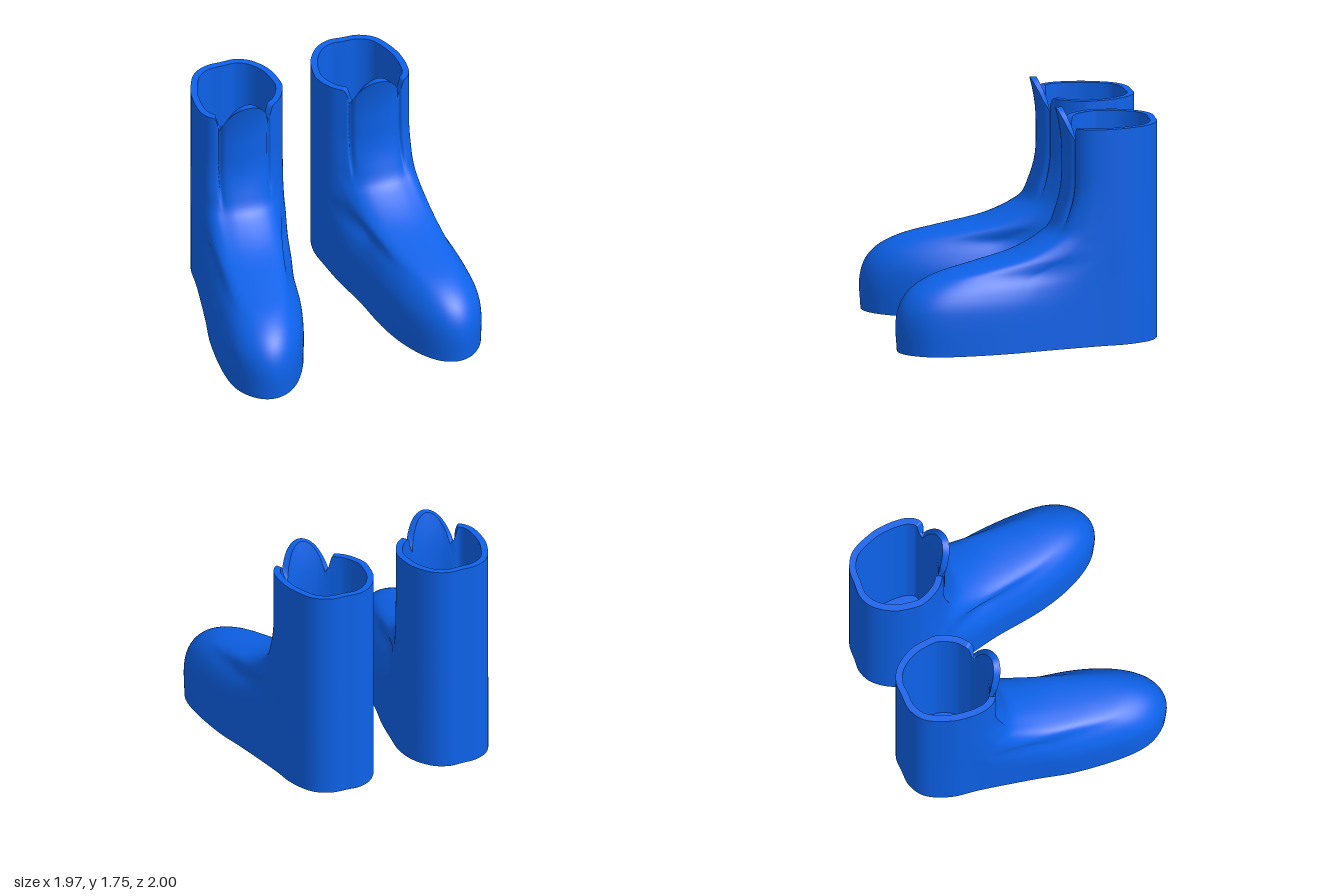
import * as THREE from 'three';

// Plan outlines, matched point for point: heel, outer side, toe, inner side
const SOLE = [[.47, -1], [.6, -.99], [.72, -.91], [.8, -.73], [.83, -.5], [.9, -.1], [.96, .2], [.985, .55],
  [.96, .78], [.87, .93], [.75, .995], [.62, .97], [.5, .86], [.39, .66], [.31, .4], [.25, .05],
  [.19, -.2], [.15, -.45], [.13, -.63], [.16, -.8], [.25, -.94], [.36, -1]];
const SHAFT = [[.47, -1], [.6, -.99], [.72, -.91], [.8, -.73], [.82, -.6], [.82, -.52], [.81, -.45], [.78, -.39],
  [.745, -.36], [.7, -.345], [.62, -.31], [.51, -.295], [.4, -.31], [.32, -.345], [.27, -.38], [.21, -.43],
  [.165, -.5], [.14, -.56], [.13, -.63], [.16, -.8], [.25, -.94], [.36, -1]];
// Instep profile: height, front z, sideways pinch of the toe box
const PROFILE = [[0, .99, 0], [.22, 1, 0], [.35, .97, .02], [.46, .89, .11], [.55, .73, .22], [.61, .48, .18],
  [.69, .12, .06], [.79, -.1, .02], [.86, -.19, 0], [1, -.25, 0]];

const STEPS = 6, COUNT = SOLE.length * STEPS;
const NOTCH_A = 9, NOTCH_B = 13; // outline points where tongue and flaps meet
const { clamp, lerp, smoothstep } = THREE.MathUtils;

const sample = (pts) => {
  const curve = new THREE.CatmullRomCurve3(pts.map(([x, z]) => new THREE.Vector3(x, 0, z)), true, 'catmullrom');
  return Array.from({ length: COUNT }, (_, i) => curve.getPoint(i / COUNT));
};
const soleLine = sample(SOLE), shaftLine = sample(SHAFT);

// One point of the boot wall: t blends sole outline to shaft outline
function wallPoint(i, y, t, pinch, creased) {
  const u = i / STEPS, a = soleLine[i], b = shaftLine[i];
  const p = new THREE.Vector3().lerpVectors(a, b, t).setY(y);
  const front = clamp((a.z + .4) / .5, 0, 1);
  p.x = lerp(p.x, lerp(.68, .51, t), pinch * front);
  // tongue leans forward at its tip
  if (u > NOTCH_A && u < NOTCH_B && y > 1.4) p.z += .05 * ((y - 1.4) / .35) ** 2;
  // creases beside the tongue
  if (creased) {
    const d = Math.min(Math.abs(u - NOTCH_A), Math.abs(u - NOTCH_B));
    p.z -= .028 * Math.exp(-((d / .2) ** 2)) * smoothstep(y, .85, 1.02);
  }
  return p;
}

// Collar height: level back, rounded flaps, domed tongue
function topHeight(i) {
  const u = i / STEPS;
  if (u >= NOTCH_A && u <= NOTCH_B) {
    const v = (u - NOTCH_A) / (NOTCH_B - NOTCH_A);
    return 1.5 + .255 * Math.sin(Math.PI * v) ** .7;
  }
  const d = clamp(u < NOTCH_A ? NOTCH_A - u : u - NOTCH_B, 0, 1);
  return 1.64 - .14 * (1 - d) ** 2;
}

const makeRow = (fn) => Array.from({ length: COUNT }, (_, i) => fn(i));
const shaftBlend = (y) => (y < 1.25 ? 1 - .035 * (1 - (y - 1) / .25) ** 2 : 1);

// Moves a closed row inwards along its plan normal
function insetRow(row, amount) {
  return row.map((p, i) => {
    const d = row[(i + 1) % COUNT].clone().sub(row[(i + COUNT - 1) % COUNT]).setY(0).normalize();
    return new THREE.Vector3(p.x - d.z * amount, p.y, p.z + d.x * amount);
  });
}

// Skins a list of closed rows
function skin(rows, side) {
  const positions = [], index = [];
  rows.forEach((row) => row.forEach((p) => positions.push(p.x * side, p.y, p.z)));
  for (let j = 0; j < rows.length - 1; j++) {
    for (let i = 0; i < COUNT; i++) {
      const n = (i + 1) % COUNT;
      const a = j * COUNT + i, b = j * COUNT + n, c = a + COUNT, d = b + COUNT;
      if (side > 0) index.push(a, c, b, b, c, d);
      else index.push(a, b, c, b, d, c);
    }
  }
  const geometry = new THREE.BufferGeometry();
  geometry.setAttribute('position', new THREE.Float32BufferAttribute(positions, 3));
  geometry.setIndex(index);
  geometry.computeVertexNormals();
  return geometry;
}

function buildBoot(side, material) {
  const boot = new THREE.Group();
  const add = (name, rows) => {
    const mesh = new THREE.Mesh(skin(rows, side), material);
    mesh.name = name;
    boot.add(mesh);
  };

  // Upper: foot rows up the instep, then shaft rows up to the collar
  const profile = new THREE.CatmullRomCurve3(PROFILE.map((p) => new THREE.Vector3(...p)), false, 'centripetal');
  const upper = [];
  for (let j = 0; j <= 36; j++) {
    const { x: y, y: front, z: pinch } = profile.getPoint(j / 36);
    upper.push(makeRow((i) => wallPoint(i, y, (1 - front) / 1.295, Math.max(0, pinch), true)));
  }
  for (let j = 1; j <= 14; j++) {
    upper.push(makeRow((i) => {
      const y = lerp(1, topHeight(i), j / 14);
      return wallPoint(i, y, shaftBlend(y), 0, true);
    }));
  }
  add('upper', upper);

  // Lining: hollow shaft down to the insole
  const lining = [];
  for (let j = 0; j <= 14; j++) {
    lining.push(insetRow(makeRow((i) => wallPoint(i, lerp(topHeight(i), .1, j / 14), 1, 0, false)), .05));
  }
  add('lining', lining);
  add('collarRim', [upper[upper.length - 1], lining[0]]);

  // Flat sole and insole
  const centre = (x, y, z) => makeRow(() => new THREE.Vector3(x, y, z));
  add('sole', [centre(.57, 0, 0), upper[0]]);
  add('insole', [lining[14], centre(.48, .1, -.65)]);
  return boot;
}

export function createModel() {
  const model = new THREE.Group();
  model.name = 'boots';
  const material = new THREE.MeshStandardMaterial({ color: 0x0d62ea });
  for (const [name, side] of [['leftBoot', 1], ['rightBoot', -1]]) {
    const boot = buildBoot(side, material);
    boot.name = name;
    model.add(boot);
  }
  return model;
}
